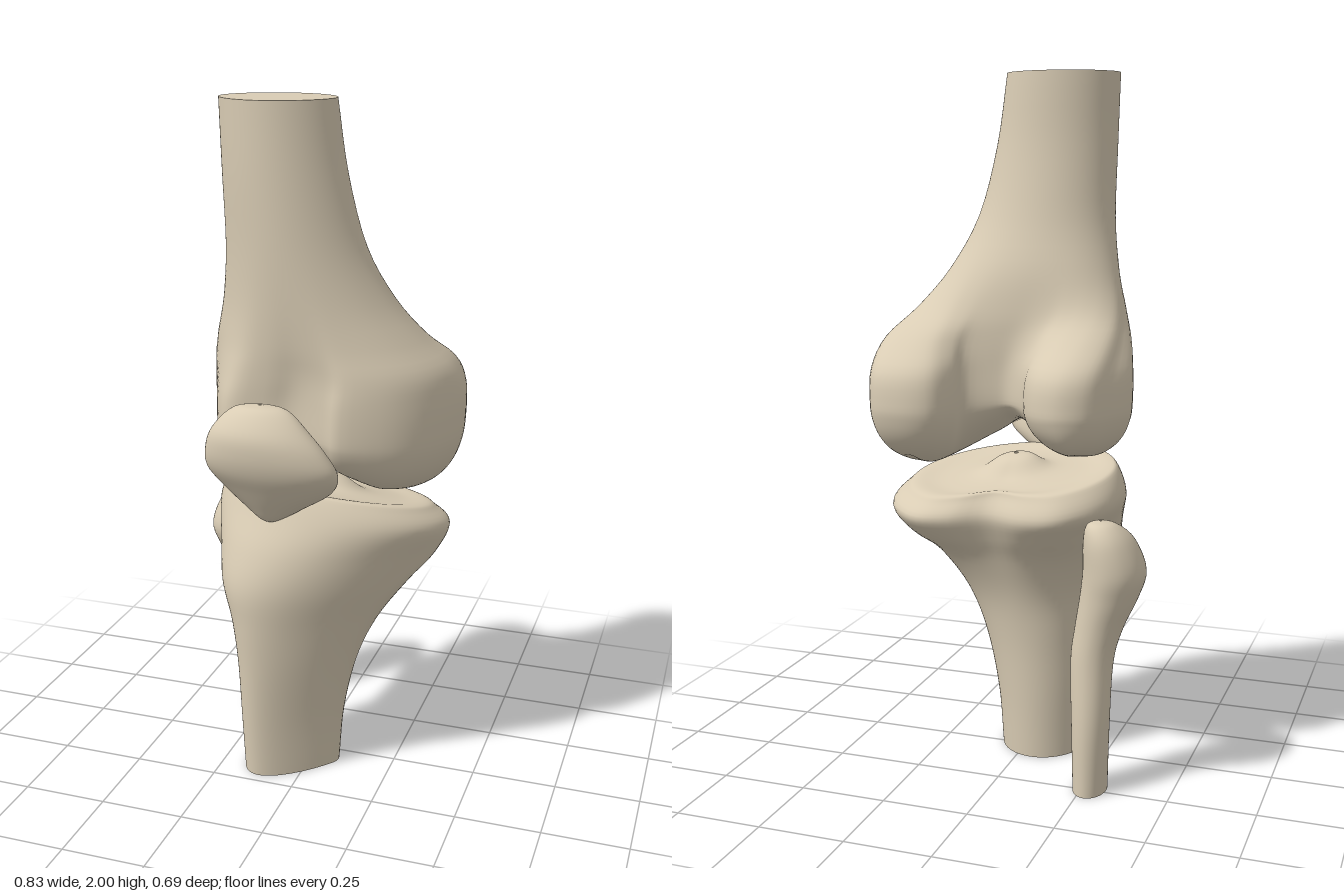
import * as THREE from 'three';

const bone = new THREE.MeshStandardMaterial({ color: 0xd9ccb4, side: THREE.DoubleSide });
const mix = THREE.MathUtils.lerp;
const V = (x, y, z) => new THREE.Vector3(x, y, z);

// Smooth skin over rings of control points, listed from top to bottom.
// Each ring runs from the front (+z) round by +x; flat ends are optional.
function loft(name, rings, { capTop = false, capBottom = false, around = 4, along = 5 } = {}) {
  const n = rings[0].length * around;
  const smooth = rings.map((ring) => {
    const c = new THREE.CatmullRomCurve3(ring, true, 'catmullrom', 0.5);
    return Array.from({ length: n }, (_, i) => c.getPoint(i / n));
  });
  const rows = (rings.length - 1) * along;
  const pos = [], index = [];
  const columns = smooth[0].map((_, i) => new THREE.CatmullRomCurve3(smooth.map((r) => r[i]), false, 'catmullrom', 0.5));
  for (let j = 0; j <= rows; j++) {
    for (let i = 0; i < n; i++) pos.push(...columns[i].getPoint(j / rows).toArray());
  }
  for (let j = 0; j < rows; j++) {
    for (let i = 0; i < n; i++) {
      const a = j * n + i, b = j * n + (i + 1) % n;
      index.push(a, a + n, b, b, a + n, b + n);
    }
  }
  // flat cut ends get their own vertices so that the rim stays sharp
  const cap = (ring, up) => {
    const start = pos.length / 3;
    const mid = ring.reduce((s, p) => s.add(p), V(0, 0, 0)).divideScalar(n);
    ring.forEach((p) => pos.push(p.x, p.y, p.z));
    pos.push(mid.x, mid.y, mid.z);
    for (let i = 0; i < n; i++) {
      const a = start + i, b = start + (i + 1) % n;
      index.push(start + n, up ? a : b, up ? b : a);
    }
  };
  if (capTop) cap(smooth[0], true);
  if (capBottom) cap(smooth[smooth.length - 1], false);
  const g = new THREE.BufferGeometry();
  g.setAttribute('position', new THREE.Float32BufferAttribute(pos, 3));
  g.setIndex(index);
  g.computeVertexNormals();
  const mesh = new THREE.Mesh(g, bone);
  mesh.name = name;
  return mesh;
}

// Oval ring within x0..x1, z0..z1; point narrows the front, skew leans the
// front towards -x, notch dents the back
function oval(count, y, [x0, x1, z0, z1], { point = 0, skew = 0, notch = 0, tiltX = 0, tiltZ = 0 } = {}) {
  const cx = (x0 + x1) / 2, cz = (z0 + z1) / 2;
  return Array.from({ length: count }, (_, i) => {
    const a = (i / count) * Math.PI * 2;
    const s = Math.sin(a), c = Math.cos(a), front = Math.max(c, 0);
    const dent = c < 0 ? notch * Math.exp(-((s / 0.38) ** 2)) : 0;
    const x = cx + (x1 - x0) / 2 * (s * (1 - point * front) - skew * front);
    const z = cz + c * (z1 - z0) / 2 * (1 - dent);
    return V(x, y + tiltX * (x - cx) + tiltZ * (z - cz), z);
  });
}

// Line along the underside of both condyles, from the -x tip to the +x tip
const underside = new THREE.CatmullRomCurve3([
  V(-0.21, 0.96, -0.22), V(-0.215, 0.94, -0.13), V(-0.205, 0.935, -0.05), V(-0.18, 0.945, 0.03),
  V(-0.1, 0.98, 0.08), V(0, 1.01, 0.07), V(0.1, 0.965, 0.08), V(0.19, 0.915, 0.06),
  V(0.25, 0.895, -0.02), V(0.27, 0.89, -0.12), V(0.262, 0.93, -0.22),
], false, 'catmullrom', 0.5);

// Condyle outline: x, z, and the place (-5 to 5) on the underside line where it closes
const condyles = [
  [-0.02, 0.18, 0], [0.08, 0.205, 0.7], [0.14, 0.225, 1.2], [0.27, 0.165, 2], [0.36, 0.07, 2.8],
  [0.41, -0.06, 3.5], [0.405, -0.16, 4.1], [0.375, -0.27, 4.6], [0.33, -0.33, 4.9],
  [0.24, -0.345, 4.9], [0.165, -0.32, 4.4], [0.13, -0.25, 3.6], [0.12, -0.19, 2.4],
  [0.05, -0.155, 1], [0, -0.15, 0], [-0.05, -0.185, -1.6], [-0.08, -0.25, -3], [-0.13, -0.3, -4.2],
  [-0.2, -0.315, -5], [-0.27, -0.28, -4.7], [-0.31, -0.2, -4.1], [-0.345, -0.1, -3.4],
  [-0.29, 0.06, -2.3], [-0.24, 0.17, -1.5], [-0.19, 0.215, -1], [-0.1, 0.2, -0.5],
];

function thighBone() {
  // shaft ovals blending into the condyle outline: y, bounds, blend
  const rings = [
    [2, [-0.25, 0.08, -0.055, 0.23], 0],
    [1.8, [-0.245, 0.11, -0.06, 0.23], 0],
    [1.6, [-0.245, 0.16, -0.09, 0.225], 0],
    [1.45, [-0.265, 0.22, -0.13, 0.22], 0.08],
    [1.34, [-0.295, 0.285, -0.145, 0.215], 0.28],
    [1.26, [-0.32, 0.36, -0.15, 0.21], 0.63],
    [1.18, [-0.345, 0.41, -0.15, 0.21], 0.94],
    [1.09, [-0.345, 0.41, -0.15, 0.21], 1],
  ].map(([y, bounds, w]) => oval(condyles.length, y, bounds, { point: 0.12 })
    .map((p, i) => V(mix(p.x, condyles[i][0], w), y, mix(p.z, condyles[i][1], w))));
  // rounded underside
  for (let k = 1; k <= 5; k++) {
    const a = (k / 5) * Math.PI / 2, t = 1 - Math.cos(a);
    rings.push(condyles.map(([x, z, u]) => {
      const end = underside.getPoint((u + 5) / 10);
      return V(mix(x, end.x, t), mix(1.09, end.y, Math.sin(a)), mix(z, end.z, t));
    }));
  }
  return loft('thighBone', rings, { capTop: true, along: 4 });
}

function shinBone() {
  const [x0, x1, z0, z1] = [-0.3, 0.355, -0.3, 0.185];
  const cx = 0.02, cz = -0.03;
  // plateau from the central ridge out to the rim: scale, height
  const rings = [
    [0.02, 0.915], [0.16, 0.905], [0.35, 0.87], [0.65, 0.86], [0.88, 0.865], [0.97, 0.85],
  ].map(([s, y]) => oval(20, y, [mix(cx, x0, s), mix(cx, x1, s), mix(cz, z0, s), mix(cz, z1, s)],
    { notch: 0.36 * s, tiltX: -0.09, tiltZ: 0.2 }));
  // flared head tapering to the shaft: y, bounds, front narrowing, lean, back dent, tilt
  for (const [y, b, point, skew, notch, tiltZ] of [
    [0.79, [-0.31, 0.385, -0.325, 0.21], 0, 0.05, 0.34, 0.14],
    [0.71, [-0.28, 0.35, -0.275, 0.245], 0.1, 0.25, 0.25, 0.06],
    [0.62, [-0.24, 0.285, -0.19, 0.265], 0.15, 0.45, 0.08, 0],
    [0.5, [-0.2, 0.2, -0.13, 0.26], 0.2, 0.55, 0, 0],
    [0.36, [-0.185, 0.14, -0.11, 0.25], 0.2, 0.55, 0, 0],
    [0.18, [-0.18, 0.1, -0.1, 0.235], 0.2, 0.55, 0, 0],
    [0, [-0.175, 0.085, -0.09, 0.22], 0.2, 0.55, 0, 0],
  ]) rings.push(oval(20, y, b, { point, skew, notch, tiltZ, tiltX: y > 0.7 ? -0.05 : 0 }));
  return loft('shinBone', rings, { capBottom: true });
}

function calfBone() {
  const rings = [
    [0.79, [-0.302, -0.298, -0.252, -0.248]],
    [0.778, [-0.345, -0.262, -0.29, -0.2]],
    [0.73, [-0.39, -0.248, -0.315, -0.14]],
    [0.645, [-0.42, -0.245, -0.32, -0.115]],
    [0.57, [-0.4, -0.238, -0.31, -0.135]],
    [0.48, [-0.36, -0.225, -0.3, -0.155]],
    [0.38, [-0.335, -0.215, -0.3, -0.17]],
    [0.2, [-0.328, -0.222, -0.31, -0.18]],
    [0, [-0.32, -0.225, -0.305, -0.165]],
  ].map(([y, b]) => oval(12, y, b));
  return loft('calfBone', rings, { capBottom: true });
}

function kneecap() {
  const rings = [
    [1.19, [-0.085, -0.075, 0.255, 0.26]],
    [1.178, [-0.16, 0.0, 0.22, 0.3]],
    [1.12, [-0.22, 0.065, 0.2, 0.34]],
    [1.06, [-0.243, 0.115, 0.19, 0.345]],
    [1.0, [-0.245, 0.142, 0.175, 0.33]],
    [0.94, [-0.21, 0.115, 0.155, 0.295]],
    [0.88, [-0.16, 0.03, 0.145, 0.255]],
    [0.835, [-0.115, -0.04, 0.15, 0.22]],
    [0.82, [-0.08, -0.074, 0.18, 0.185]],
  ].map(([y, b]) => oval(14, y, b, { point: 0.1 }));
  return loft('kneecap', rings);
}

export function createModel() {
  const model = new THREE.Group();
  model.name = 'kneeJoint';
  model.add(thighBone(), shinBone(), calfBone(), kneecap());
  return model;
}
